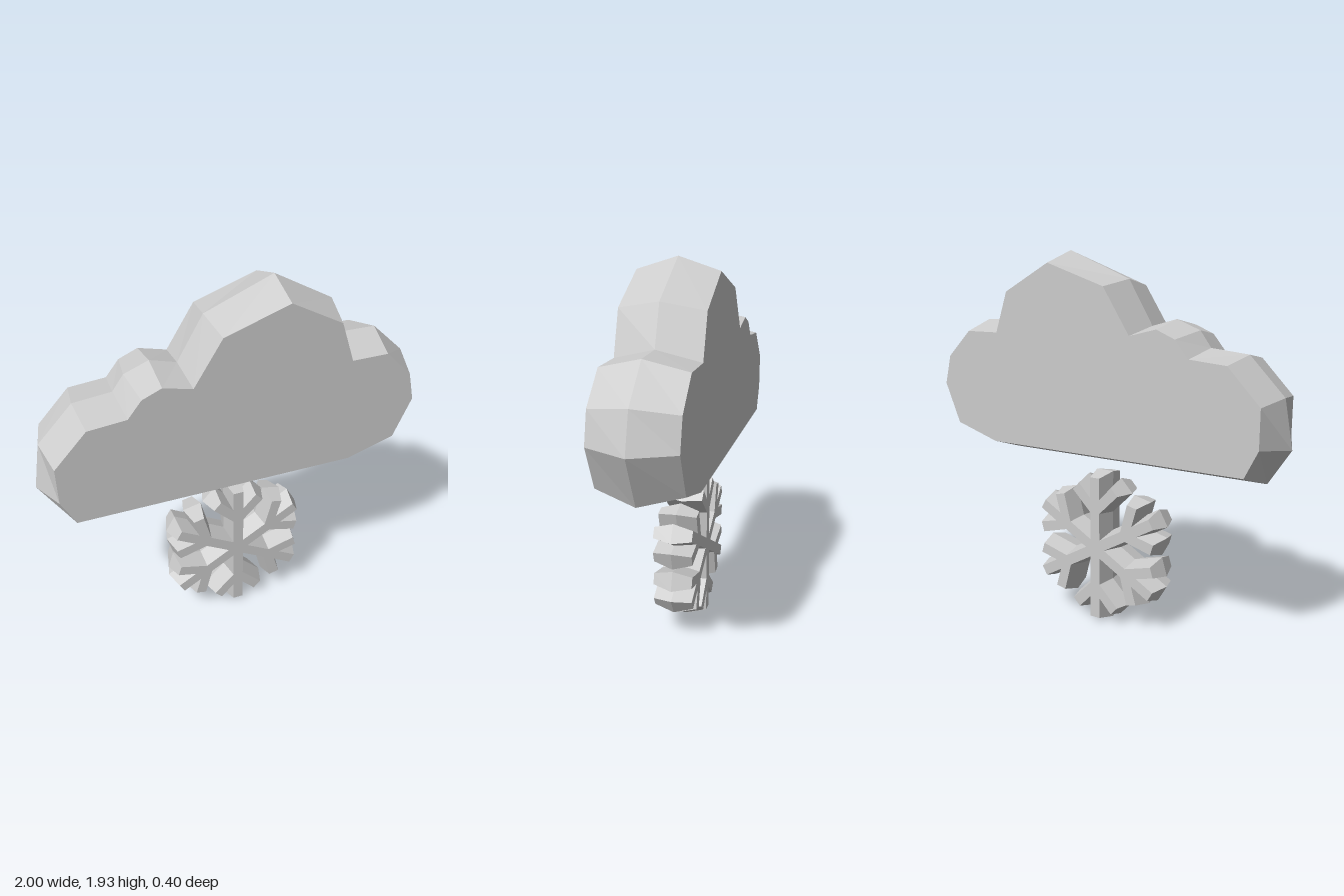
import * as THREE from 'three';

// Slab with a ridge: wide outline at z = 0, narrower outline at z = +/-depth.
// Both outlines run counter-clockwise seen from the front.
function ridgedSlab(outer, inner, depth) {
  const pos = [];
  const put = (p, z) => pos.push(p[0], p[1], z);
  const n = outer.length;
  for (let i = 0; i < n; i++) {
    const j = (i + 1) % n;
    const a = outer[i], b = outer[j], c = inner[i], d = inner[j];
    // front bevel
    put(a, 0); put(b, 0); put(d, depth);
    put(a, 0); put(d, depth); put(c, depth);
    // back bevel
    put(b, 0); put(a, 0); put(c, -depth);
    put(b, 0); put(c, -depth); put(d, -depth);
  }
  // flat front and back faces
  const contour = inner.map(p => new THREE.Vector2(p[0], p[1]));
  for (const [i, j, k] of THREE.ShapeUtils.triangulateShape(contour, [])) {
    put(inner[i], depth); put(inner[j], depth); put(inner[k], depth);
    put(inner[k], -depth); put(inner[j], -depth); put(inner[i], -depth);
  }
  const geo = new THREE.BufferGeometry();
  geo.setAttribute('position', new THREE.Float32BufferAttribute(pos, 3));
  geo.computeVertexNormals();
  return geo;
}

// Mitred inward offset of a counter-clockwise outline
function inset(points, dist) {
  const n = points.length;
  const normal = (p, q) => {
    const dx = q[0] - p[0], dy = q[1] - p[1], l = Math.hypot(dx, dy);
    return [-dy / l, dx / l];
  };
  return points.map((p, i) => {
    const a = normal(points[(i + n - 1) % n], p);
    const b = normal(p, points[(i + 1) % n]);
    const s = dist / (1 + a[0] * b[0] + a[1] * b[1]);
    return [p[0] + (a[0] + b[0]) * s, p[1] + (a[1] + b[1]) * s];
  });
}

// Six-armed outline, each arm with two diagonal side branches
function snowflakeOutline() {
  const half = [[0.05, 0.187], [0.168, 0.304], [0.099, 0.378], [0.05, 0.327], [0.05, 0.407]];
  const arm = [[0.05, 0.0866], ...half, ...half.map(([x, y]) => [-x, y]).reverse()];
  const points = [];
  for (let k = 0; k < 6; k++) {
    const c = Math.cos(k * Math.PI / 3), s = Math.sin(k * Math.PI / 3);
    for (const [x, y] of arm) points.push([x * c - y * s, x * s + y * c]);
  }
  return points;
}

export function createModel() {
  const group = new THREE.Group();
  const material = new THREE.MeshStandardMaterial({ color: 0xcccccc, flatShading: true });

  // Cloud: ridge outline and face outline
  const cloudRidge = [
    [-0.89, 0.873], [0.583, 0.873], [0.885, 0.97], [1, 1.222], [0.945, 1.41], [0.77, 1.572],
    [0.588, 1.575], [0.513, 1.768], [0.208, 1.936], [-0.14, 1.795], [-0.273, 1.573],
    [-0.406, 1.61], [-0.53, 1.562], [-0.588, 1.483], [-0.78, 1.463], [-0.957, 1.28], [-1, 1.045],
  ];
  const cloudFace = [
    [-0.856, 0.938], [0.573, 0.938], [0.83, 1.015], [0.92, 1.227], [0.882, 1.38], [0.738, 1.52],
    [0.545, 1.52], [0.472, 1.73], [0.207, 1.872], [-0.118, 1.762], [-0.262, 1.537],
    [-0.406, 1.573], [-0.503, 1.532], [-0.572, 1.447], [-0.76, 1.43], [-0.922, 1.26], [-0.922, 1.072],
  ];
  const cloud = new THREE.Mesh(ridgedSlab(cloudRidge, cloudFace, 0.202), material);
  cloud.name = 'cloud';

  // Snowflake hanging below the cloud
  const outline = snowflakeOutline();
  const snowflake = new THREE.Mesh(ridgedSlab(outline, inset(outline, 0.022), 0.1), material);
  snowflake.name = 'snowflake';
  snowflake.position.y = 0.408;

  group.add(cloud, snowflake);
  return group;
}
